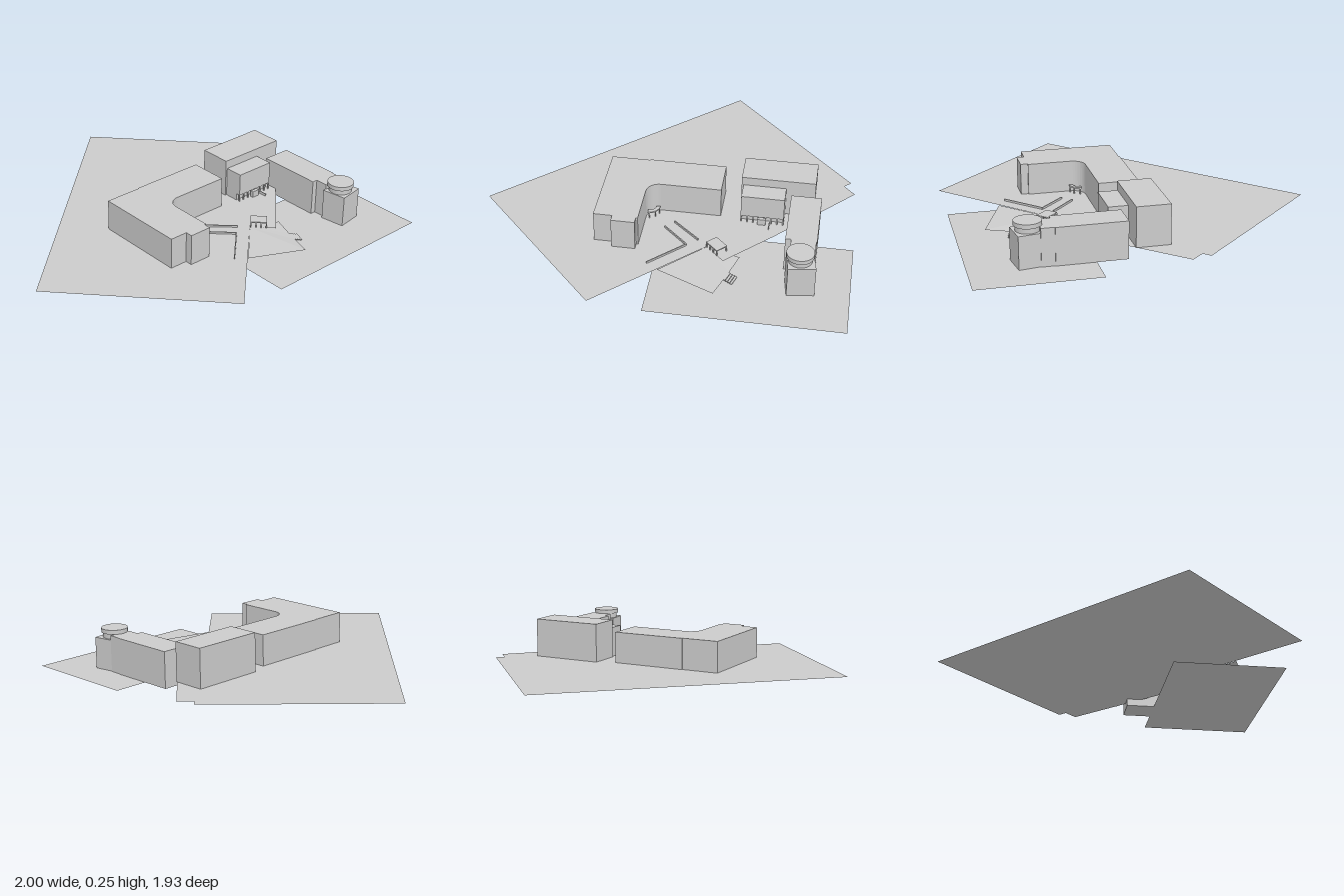
import * as THREE from 'three';

const GROUND = 0.04; // level of the upper terrace
const material = new THREE.MeshStandardMaterial({ color: 0xcccccc, flatShading: true, side: THREE.DoubleSide });
const smooth = new THREE.MeshStandardMaterial({ color: 0xcccccc, side: THREE.DoubleSide });

export function createModel() {
  const model = new THREE.Group();

  function add(name, geometry, parent = model, mat = material) {
    const mesh = new THREE.Mesh(geometry, mat);
    mesh.name = name;
    parent.add(mesh);
    return mesh;
  }
  function group(name) {
    const g = new THREE.Group();
    g.name = name;
    model.add(g);
    return g;
  }
  // Plan outline given as [x, z] pairs
  const plan = (points) => new THREE.Shape(points.map(([x, z]) => new THREE.Vector2(x, -z)));
  const sheet = (name, points, y) =>
    add(name, new THREE.ShapeGeometry(plan(points)).rotateX(-Math.PI / 2)).position.y = y;
  function prism(name, points, y0, y1, parent) {
    const g = new THREE.ExtrudeGeometry(plan(points), { depth: y1 - y0, bevelEnabled: false });
    add(name, g.rotateX(-Math.PI / 2).translate(0, y0, 0), parent);
  }
  function box(name, x0, x1, y0, y1, z0, z1, parent) {
    const g = new THREE.BoxGeometry(x1 - x0, y1 - y0, z1 - z0);
    add(name, g.translate((x0 + x1) / 2, (y0 + y1) / 2, (z0 + z1) / 2), parent);
  }
  // Thin wall between two plan points
  function wall(name, [xa, za], [xb, zb], y0, y1, thick, parent) {
    const mesh = add(name, new THREE.BoxGeometry(Math.hypot(xb - xa, zb - za), y1 - y0, thick), parent);
    mesh.position.set((xa + xb) / 2, (y0 + y1) / 2, (za + zb) / 2);
    mesh.rotation.y = -Math.atan2(zb - za, xb - xa);
  }

  // Ground sheets
  sheet('upperGround', [[-1, 0.21], [0.25, -0.97], [0.96, -0.225], [0.925, -0.19], [0.985, -0.125],
    [0.58, 0.31], [0.34, 0.55], [0.24, 0.45], [-0.29, 0.96]], GROUND);
  sheet('lowerGround', [[-0.016, 0.31], [1, 0.31], [1, 0.945], [-0.016, 0.945]], 0);

  // Sloping plaza between the two levels
  const plaza = [[0.24, 0.039, 0.45], [0.016, 0.039, 0.67], [0.32, 0.025, 0.79], [0.36, 0.02, 0.67],
    [0.38, 0.02, 0.61], [0.42, 0.025, 0.49], [0.34, 0.03, 0.55]];
  const slope = new THREE.BufferGeometry();
  slope.setAttribute('position', new THREE.Float32BufferAttribute(plaza.flat(), 3));
  slope.setIndex(plaza.slice(2).flatMap((_, i) => [0, i + 1, i + 2]));
  slope.computeVertexNormals();
  add('plaza', slope);

  // Steps down to the lower ground
  const steps = group('plazaSteps');
  for (let i = 0; i < 4; i++) {
    const d = i * 0.012, top = 0.02 - i * 0.004;
    wall('step', [0.362 + d, 0.672 + d * 0.3], [0.382 + d, 0.612 + d * 0.3], top - 0.004, top, 0.012, steps);
  }

  // L-shaped building with a concave curved inner corner
  const corner = [];
  for (let i = 0; i <= 8; i++) {
    const a = (i / 8) * Math.PI / 2;
    corner.push([-0.045 - 0.07 * Math.sin(a), 0.25 - 0.07 * Math.cos(a)]);
  }
  prism('cornerBuilding', [[-0.35, -0.03], [-0.14, -0.03], [-0.14, -0.035], [0.28, -0.035], [0.28, 0.18],
    ...corner, [-0.115, 0.485], [-0.125, 0.485], [-0.125, 0.525], [-0.25, 0.525], [-0.25, 0.485],
    [-0.35, 0.485]], GROUND, 0.213);

  // Entrance canopy on posts, in the inner corner
  const entrance = group('entranceCanopy');
  const outer = [], inner = [];
  for (let i = 0; i <= 8; i++) {
    const a = (i / 8) * Math.PI / 2, s = Math.sin(a), c = Math.cos(a);
    outer.push([-0.105 + 0.06 * s, 0.2 + 0.06 * c]);
    inner.unshift([-0.105 + 0.04 * s, 0.2 + 0.04 * c]);
  }
  prism('canopy', [...outer, ...inner], 0.072, 0.08, entrance);
  for (const i of [1, 4, 7]) {
    const [x, z] = outer[i];
    box('post', x - 0.006, x, GROUND, 0.072, z - 0.006, z, entrance);
  }

  // Tall block with a lower annex raised on columns
  box('tallBlock', 0.38, 0.775, GROUND, 0.255, -0.075, 0.105);
  const annex = group('annex');
  box('annexBody', 0.39, 0.62, 0.08, 0.207, 0.105, 0.21, annex);
  box('annexBase', 0.39, 0.62, GROUND, 0.08, 0.105, 0.185, annex);
  for (let i = 0; i < 8; i++) {
    const x = 0.39 + i * 0.032;
    box('column', x, x + 0.006, GROUND, 0.08, 0.203, 0.209, annex);
  }
  box('porch', 0.48, 0.525, GROUND, 0.075, 0.205, 0.225, annex);
  box('porchRail', 0.543, 0.547, GROUND, 0.055, 0.21, 0.26, annex);

  // Long wing ending in a skewed block with a round top
  const wing = group('towerWing');
  box('wingBody', 0.65, 0.812, 0, 0.2, 0.15, 0.515, wing);
  box('wingNeck', 0.68, 0.808, 0, 0.2, 0.515, 0.585, wing);
  prism('towerBase', [[0.662, 0.585], [0.80, 0.565], [0.822, 0.697], [0.682, 0.718]], 0, 0.173, wing);
  add('towerDrum', new THREE.CylinderGeometry(0.062, 0.062, 0.03, 40).translate(0.737, 0.188, 0.637), wing, smooth);
  add('towerCap', new THREE.CylinderGeometry(0.071, 0.071, 0.023, 40).translate(0.737, 0.2125, 0.637), wing, smooth);

  // Low garden walls
  const walls = group('gardenWalls');
  for (const [a, b] of [[[0.045, 0.275], [0.19, 0.405]], [[0, 0.325], [0.135, 0.455]],
    [[0.135, 0.455], [-0.045, 0.63]]]) wall('gardenWall', a, b, GROUND, 0.051, 0.006, walls);

  // Pergola turned with the terrace edge
  const pergola = group('pergola');
  pergola.position.set(0.295, GROUND, 0.46);
  pergola.rotation.y = -Math.PI / 4;
  box('roof', -0.045, 0.045, 0.029, 0.035, -0.034, 0.034, pergola);
  for (const x of [-0.042, -0.014, 0.014, 0.042])
    for (const z of [-0.031, 0.031])
      box('post', x - 0.003, x + 0.003, 0, 0.029, z - 0.003, z + 0.003, pergola);

  return model;
}
